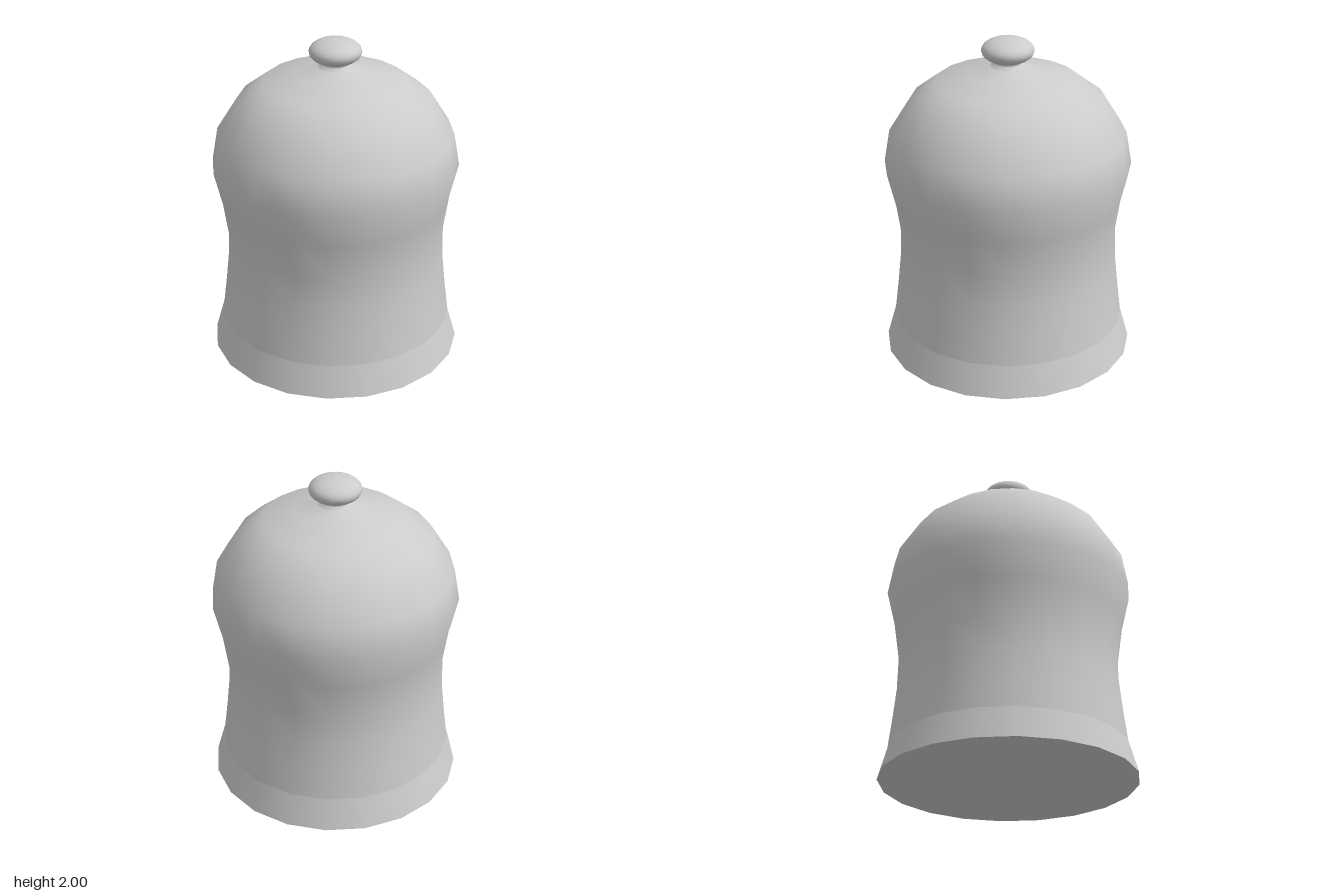
import * as THREE from 'three';

const SIDES = 20;

export function createModel() {
  const group = new THREE.Group();
  const material = new THREE.MeshStandardMaterial({ color: 0xcccccc });

  // Turned part from [radius, height] pairs listed bottom to top
  const turned = (name, profile) => {
    const points = profile.map(([r, y]) => new THREE.Vector2(r, y));
    const mesh = new THREE.Mesh(new THREE.LatheGeometry(points, SIDES), material);
    mesh.name = name;
    group.add(mesh);
  };

  // Closed flat underside
  const base = new THREE.Mesh(new THREE.CircleGeometry(0.77, SIDES), material);
  base.rotation.x = Math.PI / 2;
  base.name = 'base';
  group.add(base);

  // Flared rim, creased where it meets the body
  turned('flaredRim', [[0.77, 0], [0.766, 0.015], [0.715, 0.195]]);

  // Waisted body rising into a domed shoulder
  turned('bellBody', [
    [0.715, 0.195], [0.692, 0.38], [0.672, 0.57], [0.667, 0.77], [0.7, 1.0],
    [0.75, 1.21], [0.715, 1.41], [0.587, 1.615], [0.43, 1.735], [0.22, 1.788],
    [0.105, 1.828],
  ]);

  // Narrow neck under the knob
  turned('neck', [[0.105, 1.828], [0.083, 1.842], [0.08, 1.855], [0.095, 1.862]]);

  // Flattened round knob
  const knob = [];
  for (let i = 0; i <= 14; i++) {
    const a = -Math.PI / 2 + (Math.PI * i) / 14;
    knob.push([Math.max(0, 0.158 * Math.cos(a)), 1.922 + 0.078 * Math.sin(a)]);
  }
  turned('knob', knob);

  return group;
}
